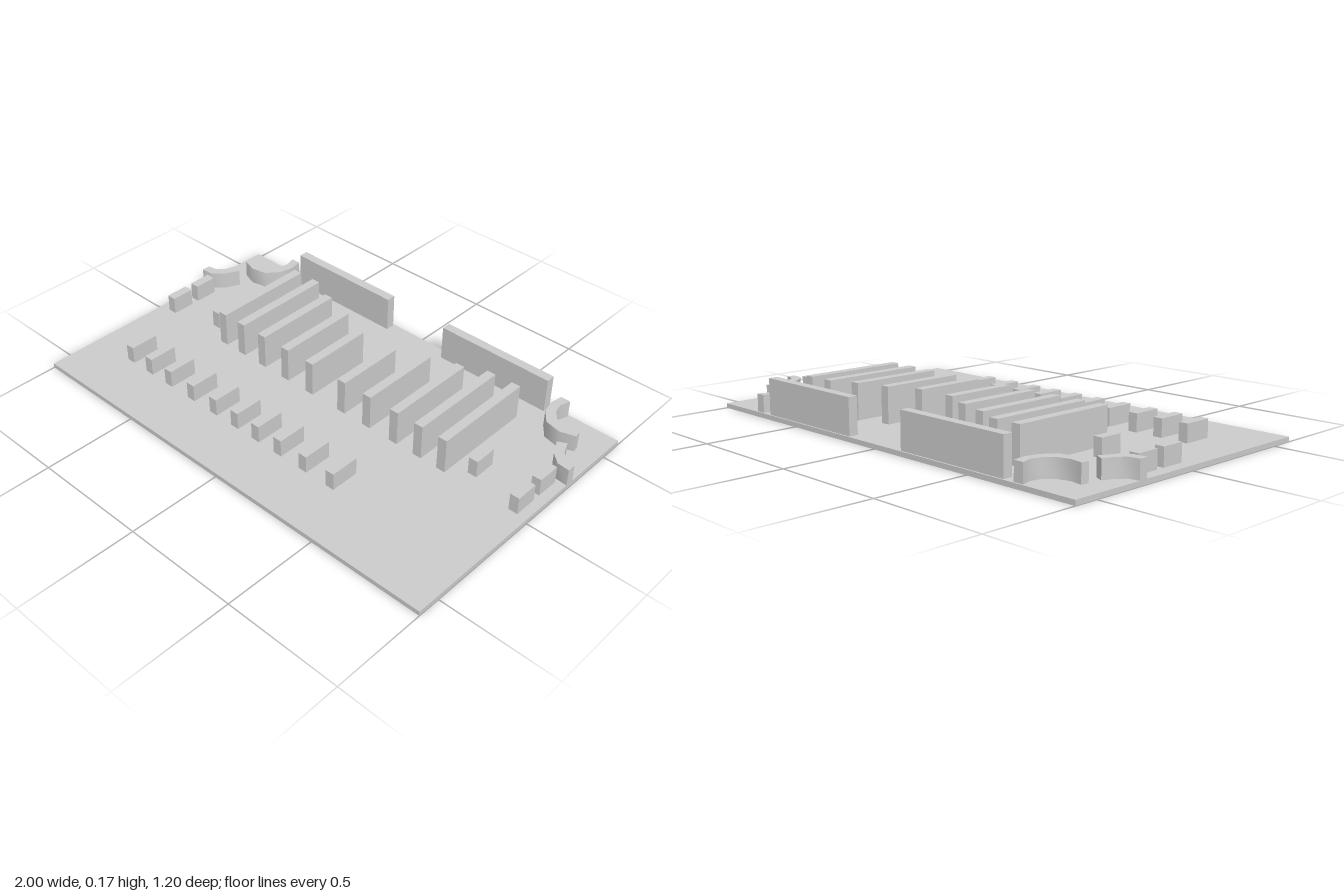
import * as THREE from 'three';
import { toCreasedNormals } from 'three/addons/utils/BufferGeometryUtils.js';

const BASE = 0.02, LOW = 0.095, TALL = 0.172;

export function createModel() {
  const model = new THREE.Group();
  model.name = 'floorPlanModel';
  const material = new THREE.MeshStandardMaterial({ color: 0xcccccc });

  function add(name, geometry) {
    const mesh = new THREE.Mesh(geometry, material);
    mesh.name = name;
    model.add(mesh);
    return mesh;
  }

  // Box given by its x and z ranges and its bottom and top
  function block(name, x0, x1, z0, z1, top, bottom = BASE) {
    add(name, new THREE.BoxGeometry(x1 - x0, top - bottom, z1 - z0))
      .position.set((x0 + x1) / 2, (bottom + top) / 2, (z0 + z1) / 2);
  }

  // Low curved wall: plan outline [x, z] raised from the base
  function curvedWall(name, outline, side, shift) {
    const shape = new THREE.Shape(outline.map(([x, z]) => new THREE.Vector2(x * side + shift, z)));
    const geometry = new THREE.ExtrudeGeometry(shape, { depth: LOW - BASE, bevelEnabled: false });
    geometry.rotateX(Math.PI / 2);
    geometry.translate(0, LOW, 0);
    add(name, toCreasedNormals(geometry, 0.9));
  }

  // Floor plate
  block('floorPlate', -1, 1, -0.6, 0.6, BASE, 0);

  // Long tall racks: centre x, back z
  const racks = [
    [-0.588, -0.45], [-0.478, -0.45], [-0.355, -0.4], [-0.22, -0.36], [-0.082, -0.3],
    [0.094, -0.3], [0.228, -0.36], [0.367, -0.4], [0.488, -0.445], [0.604, -0.45],
  ];
  for (const [x, back] of racks) block('tallRack', x - 0.02, x + 0.02, back, 0.005, TALL);

  // Row of low blocks along the front
  for (const x of [-0.777, -0.658, -0.537, -0.4, -0.267, -0.144, -0.027, 0.094, 0.228, 0.367]) {
    block('frontBlock', x - 0.02, x + 0.02, 0.237, 0.363, LOW);
  }

  // Tall walls at the back edge
  block('backWall', -0.674, -0.147, -0.593, -0.553, TALL);
  block('backWall', 0.155, 0.682, -0.593, -0.553, TALL);

  // Plan outlines of the corner walls, on the -x side
  const cornerOutline = [
    [-0.722, -0.593], [-0.714, -0.537], [-0.727, -0.478], [-0.77, -0.425], [-0.84, -0.41], [-0.904, -0.43],
    [-0.898, -0.46], [-0.845, -0.452], [-0.79, -0.468], [-0.76, -0.505], [-0.751, -0.548], [-0.765, -0.593],
  ];
  const edgeOutline = [
    [-1, -0.249], [-0.947, -0.254], [-0.904, -0.291], [-0.872, -0.356],
    [-0.909, -0.374], [-0.93, -0.323], [-0.957, -0.294], [-1, -0.286],
  ];

  // Side pieces, repeated on both sides
  for (const side of [-1, 1]) {
    const shift = side > 0 ? 0.006 : 0;
    curvedWall('cornerWall', cornerOutline, -side, shift);
    curvedWall('edgeWall', edgeOutline, -side, 0);
    for (const [x, z] of [[0.932, -0.185], [0.932, -0.05], [0.702, -0.105]]) {
      const cx = x * side + shift;
      block('sideBlock', cx - 0.02, cx + 0.02, z - 0.05, z + 0.05, LOW);
    }
  }
  return model;
}
